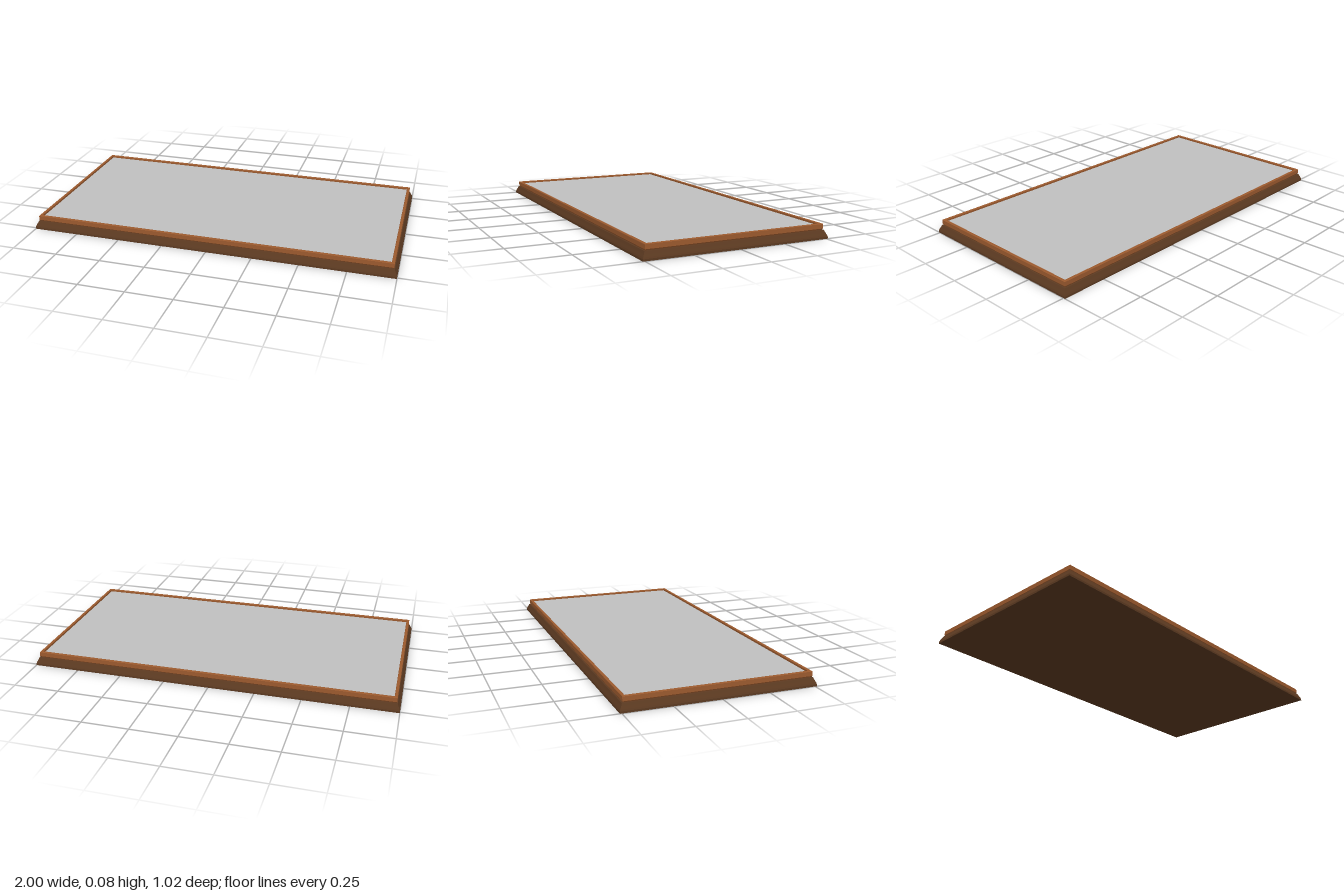
import * as THREE from 'three';

const HALF_X = 1, HALF_Z = 0.51;

// Corners of the rectangle inset from the outer footprint, in counter-clockwise order from above
function corners(inset, y) {
  const x = HALF_X - inset, z = HALF_Z - inset;
  return [[-x, y, z], [x, y, z], [x, y, -z], [-x, y, -z]];
}

// Mitred rectangular moulding: profile is a list of [inset, height], from outside bottom upward
function moulding(profile) {
  const positions = [];
  for (let i = 0; i < profile.length - 1; i++) {
    const low = corners(...profile[i]);
    const high = corners(...profile[i + 1]);
    for (let k = 0; k < 4; k++) {
      const n = (k + 1) % 4;
      positions.push(...low[k], ...low[n], ...high[n], ...low[k], ...high[n], ...high[k]);
    }
  }
  const geometry = new THREE.BufferGeometry();
  geometry.setAttribute('position', new THREE.Float32BufferAttribute(positions, 3));
  geometry.computeVertexNormals();
  return geometry;
}

export function createModel() {
  const darkWood = new THREE.MeshStandardMaterial({ color: 0x5c3a21 });
  darkWood.name = 'dark wood';
  const warmWood = new THREE.MeshStandardMaterial({ color: 0x9c5a2e });
  warmWood.name = 'warm wood';
  const greyPanel = new THREE.MeshStandardMaterial({ color: 0xc0c0c0 });
  greyPanel.name = 'grey panel';

  const model = new THREE.Group();
  model.name = 'framedBoard';
  const add = (name, geometry, material) => {
    const mesh = new THREE.Mesh(geometry, material);
    mesh.name = name;
    model.add(mesh);
    return mesh;
  };

  // Flared plinth
  add('plinth', moulding([
    [0, 0], [0, 0.01], [0.003, 0.018], [0.009, 0.03], [0.015, 0.043], [0.022, 0.044],
  ]), darkWood);

  // Underside
  const underside = add('underside', new THREE.PlaneGeometry(HALF_X * 2, HALF_Z * 2), darkWood);
  underside.rotation.x = Math.PI / 2;

  // Raised rim with a shallow groove beneath and an inner wall
  add('rim', moulding([
    [0.022, 0.044], [0.018, 0.05], [0.018, 0.073], [0.02, 0.075],
    [0.032, 0.075], [0.034, 0.073], [0.034, 0.062],
  ]), warmWood);

  // Recessed board surface
  const board = add('boardSurface',
    new THREE.PlaneGeometry((HALF_X - 0.034) * 2, (HALF_Z - 0.034) * 2), greyPanel);
  board.rotation.x = -Math.PI / 2;
  board.position.y = 0.064;

  return model;
}
